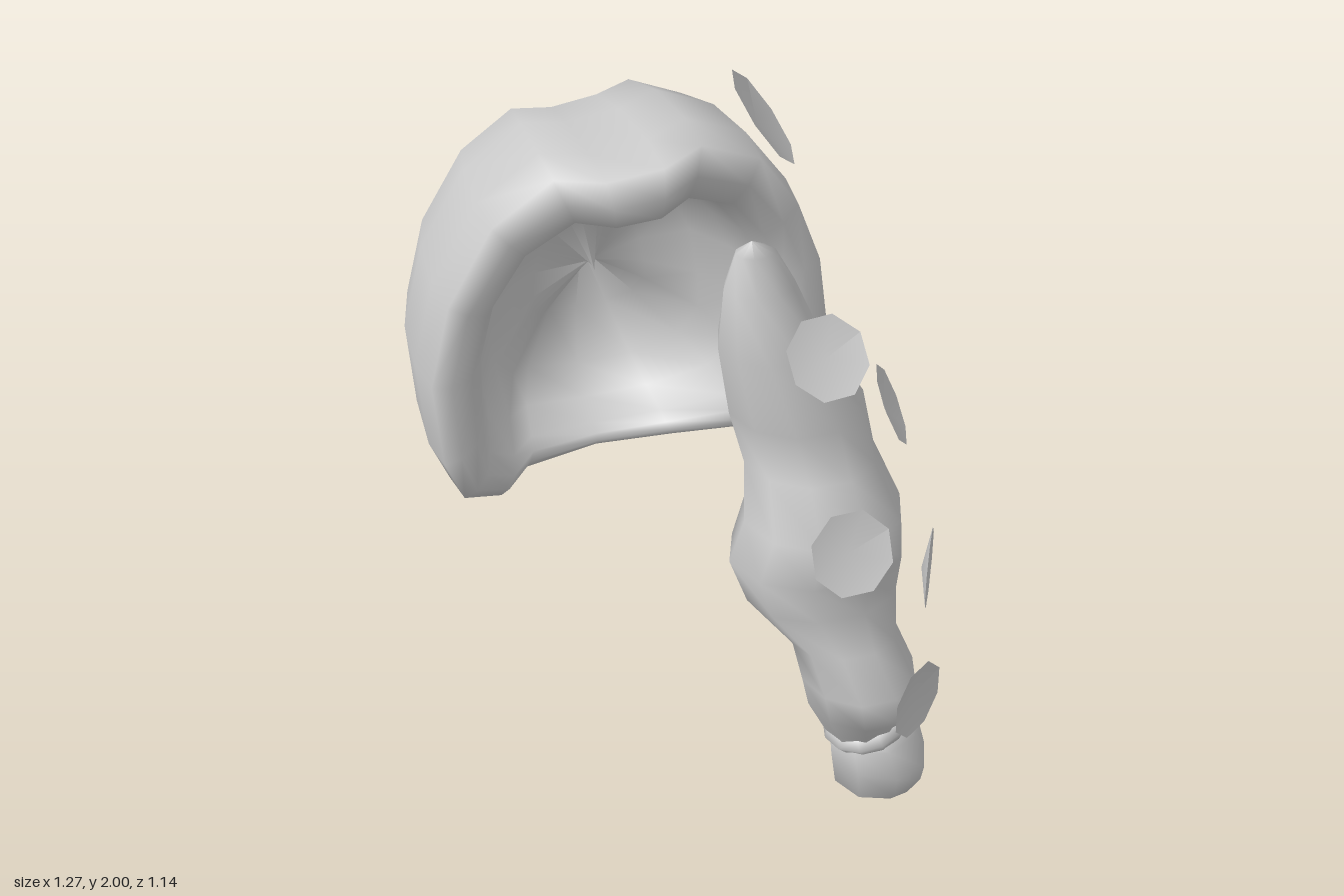
import * as THREE from 'three';

const material = new THREE.MeshStandardMaterial({ color: 0xcccccc, roughness: 0.8, side: THREE.DoubleSide });

// Smooth skin over closed rings that all have the same number of points
function loft(name, rings) {
  const n = rings[0].length, index = [];
  for (let i = 0; i < rings.length - 1; i++) {
    for (let j = 0; j < n; j++) {
      const k = (j + 1) % n;
      const a = i * n + j, b = i * n + k, c = a + n, d = b + n;
      index.push(a, b, c, b, d, c);
    }
  }
  const geometry = new THREE.BufferGeometry();
  geometry.setAttribute('position', new THREE.Float32BufferAttribute(rings.flat(2), 3));
  geometry.setIndex(index);
  geometry.computeVertexNormals();
  const mesh = new THREE.Mesh(geometry, material);
  mesh.name = name;
  return mesh;
}

// Hair cap: outline of the opening (x, y, z), clockwise from the crown
const outline = [
  [0, 2.0, 0.23], [0.16, 1.92, 0.18], [0.27, 1.77, 0.15], [0.34, 1.6, 0.13], [0.38, 1.35, 0.11],
  [0.36, 1.15, 0.06], [0.25, 1.02, -0.05], [0.05, 0.96, -0.16], [-0.15, 0.955, -0.18],
  [-0.36, 0.975, -0.1], [-0.46, 1.0, 0.04], [-0.57, 1.06, 0.11], [-0.62, 1.18, 0.13],
  [-0.64, 1.4, 0.12], [-0.59, 1.62, 0.13], [-0.48, 1.83, 0.16], [-0.34, 1.95, 0.2],
  [-0.23, 1.95, 0.25], [-0.1, 1.975, 0.27],
];

// Rows run from the hollow, over the thick rolled rim, to the back:
// depth, side, top and bottom scale
const capRows = [
  [0.66, 0, 0, 0], [0.64, 0.28, 0.28, 0.4], [0.54, 0.52, 0.5, 0.72], [0.34, 0.64, 0.62, 0.84],
  [0.13, 0.71, 0.7, 0.9], [0.03, 0.78, 0.76, 0.92], [0, 0.88, 0.87, 0.95],
  [0.02, 0.97, 0.99, 0.98], [0.18, 1, 1, 1], [0.45, 0.97, 0.95, 1], [0.68, 0.89, 0.85, 1],
  [0.82, 0.78, 0.7, 0.92], [0.94, 0.57, 0.42, 0.72], [0.99, 0.4, 0.15, 0.35], [1, 0, 0, 0],
];

function hairCap() {
  const cx = -0.12, cy = 1.42;
  return loft('hairCap', capRows.map(([t, side, top, bottom]) => outline.map(([x, y, z]) => {
    const dx = x - cx, dy = y - cy;
    const w = dy * dy / (dx * dx + dy * dy);
    const s = THREE.MathUtils.lerp(side, dy > 0 ? top : bottom, w);
    return [cx + dx * s, cy + dy * s, THREE.MathUtils.lerp(z, -0.57, t)];
  })));
}

// Hanging hair from elliptical sections: x, y, z, radius in x, radius in z, slope in x
function strand(name, sections, sides = 10) {
  return loft(name, sections.map(([x, y, z, rx, rz, slope = 0]) =>
    Array.from({ length: sides }, (_, j) => {
      const a = j / sides * Math.PI * 2;
      return [x + rx * Math.cos(a), y + slope * rx * Math.cos(a), z + rz * Math.sin(a)];
    })));
}

const braid = [
  [0.15, 1.68, 0.13, 0, 0], [0.16, 1.65, 0.13, 0.05, 0.04], [0.175, 1.55, 0.12, 0.09, 0.07],
  [0.2, 1.4, 0.13, 0.13, 0.13], [0.28, 1.2, 0.115, 0.175, 0.17], [0.31, 1.06, 0.135, 0.17, 0.17],
  [0.315, 0.95, 0.23, 0.205, 0.19], [0.31, 0.82, 0.21, 0.23, 0.19], [0.315, 0.72, 0.25, 0.2, 0.15],
  [0.36, 0.6, 0.305, 0.14, 0.11], [0.39, 0.5, 0.33, 0.15, 0.16], [0.41, 0.4, 0.315, 0.145, 0.155],
  [0.43, 0.32, 0.285, 0.11, 0.115, 0.3], [0.44, 0.26, 0.285, 0.09, 0.09, 0.3],
];

const tail = [
  [0.45, 0.28, 0.285, 0.08, 0.08, 0.3], [0.462, 0.255, 0.285, 0.12, 0.12, 0.12],
  [0.482, 0.165, 0.278, 0.132, 0.138, -0.1], [0.485, 0.095, 0.28, 0.122, 0.12, 0.1],
  [0.495, 0.045, 0.272, 0.08, 0.08, -0.2], [0.515, 0.01, 0.262, 0.035, 0.035, 0],
  [0.52, 0.005, 0.26, 0, 0],
];

// Dished flower discs: centre, facing direction, radius
const flowers = [
  [[0.26, 1.865, -0.12], [0.78, 0.58, 0.2], 0.135],
  [[0.4, 1.43, -0.235], [0.97, 0.12, 0.17], 0.135],
  [[0.295, 1.42, 0.28], [0.12, 0.62, 0.78], 0.108],
  [[0.51, 1.18, 0.17], [0.85, 0.4, 0.3], 0.108],
  [[0.31, 0.965, 0.455], [0.05, 0.4, 0.9], 0.11],
  [[0.583, 0.755, 0.302], [0.88, 0, 0.45], 0.108],
  [[0.482, 0.515, 0.512], [0.58, 0, 0.8], 0.106],
];

function flowerGeometry(radius) {
  const geometry = new THREE.CircleGeometry(radius, 8, Math.PI / 8);
  geometry.attributes.position.setZ(0, -0.02);
  geometry.computeVertexNormals();
  return geometry;
}

export function createModel() {
  const model = new THREE.Group();
  model.name = 'braidedHair';
  model.add(hairCap(), strand('braid', braid), strand('braidTail', tail, 8));

  // Tie around the end of the braid
  const tie = new THREE.Mesh(new THREE.TorusGeometry(0.085, 0.035, 6, 12), material);
  tie.name = 'hairTie';
  tie.geometry.rotateX(Math.PI / 2);
  tie.rotation.z = 0.32;
  tie.position.set(0.44, 0.285, 0.287);
  model.add(tie);

  flowers.forEach(([centre, facing, radius], i) => {
    const flower = new THREE.Mesh(flowerGeometry(radius), material);
    flower.name = `flower${i + 1}`;
    flower.position.set(...centre);
    flower.lookAt(new THREE.Vector3(...centre).add(new THREE.Vector3(...facing)));
    model.add(flower);
  });
  return model;
}
